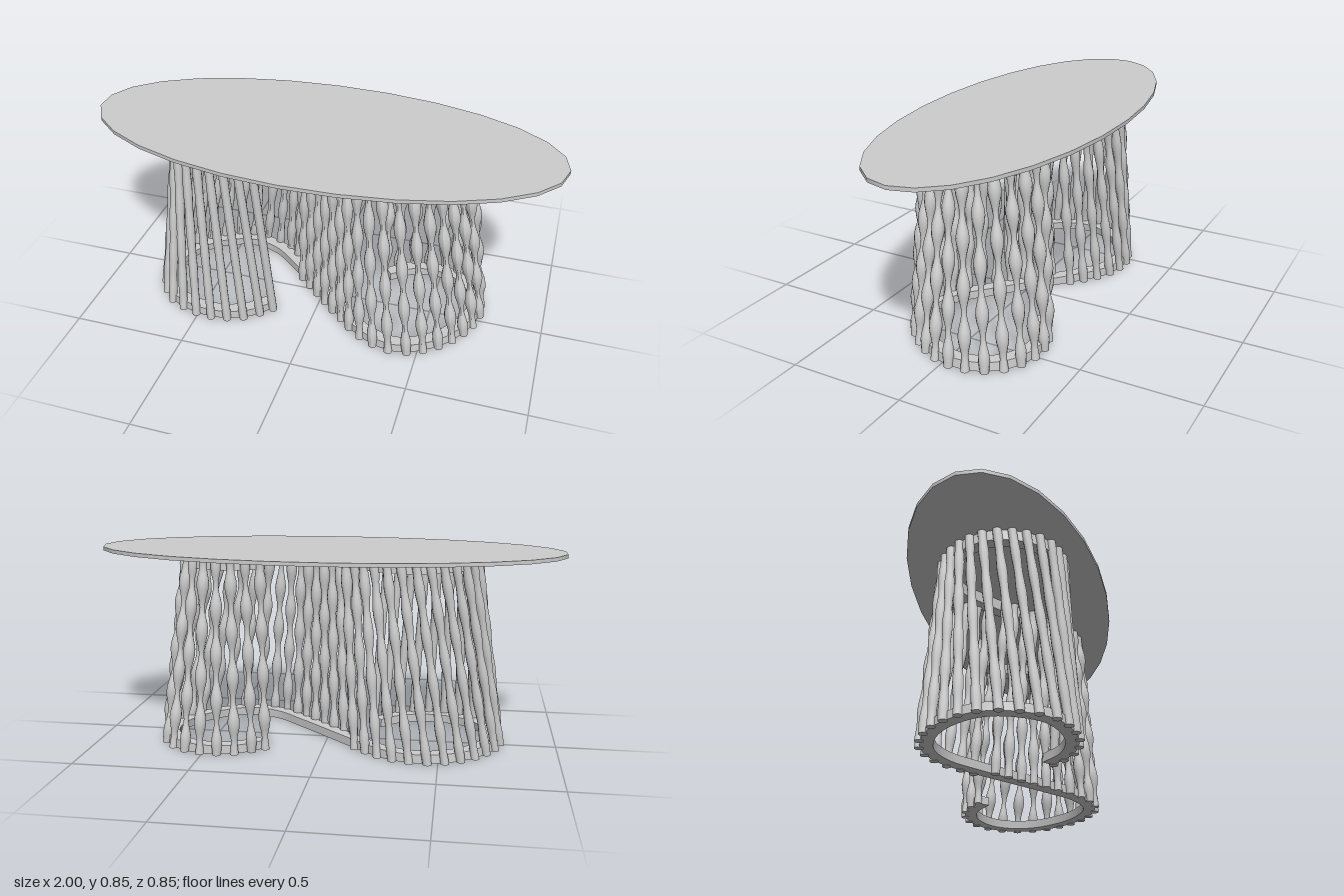
import * as THREE from 'three';
import { toCreasedNormals } from 'three/addons/utils/BufferGeometryUtils.js';

const HEIGHT = 0.84;
const RODS = 49;
const lerp = THREE.MathUtils.lerp;

// S-shaped plan at floor level (x, z), from the front end of the right loop
// through the middle to the back end of the left loop
const S_CURVE = new THREE.CatmullRomCurve3([
  [-0.205, 0.168], [-0.30, 0.255], [-0.45, 0.292], [-0.63, 0.24], [-0.715, 0.12],
  [-0.732, 0], [-0.675, -0.125], [-0.58, -0.215], [-0.44, -0.265], [-0.30, -0.235],
  [-0.16, -0.13], [-0.015, 0], [0.13, 0.13], [0.26, 0.235], [0.41, 0.275],
  [0.56, 0.2], [0.65, 0.085], [0.692, -0.03], [0.678, -0.145], [0.612, -0.233],
  [0.49, -0.281], [0.36, -0.26], [0.262, -0.185],
].map(([x, z]) => new THREE.Vector3(x, 0, z)));
S_CURVE.arcLengthDivisions = 600;

// Point and normal on the plan; it shrinks and shortens from floor (h 0) to top (h 1)
function plan(t, h) {
  const u = lerp(0.041 * h, 1 - 0.025 * h, t);
  const p = S_CURVE.getPointAt(u).multiplyScalar(1 - 0.165 * h);
  const d = S_CURVE.getTangentAt(u);
  return { p, n: new THREE.Vector3(d.z, 0, -d.x) };
}

// Flat band with a rectangular section following the S
function bandGeometry(y0, y1) {
  const steps = 110;
  const pos = [];
  const idx = [];
  const section = [[-0.026, y0], [0.026, y0], [0.026, y1], [-0.026, y1]];
  for (let i = 0; i <= steps; i++) {
    for (const [w, y] of section) {
      const { p, n } = plan(i / steps, y / HEIGHT);
      pos.push(p.x + n.x * w, y, p.z + n.z * w);
    }
    if (i === steps) break;
    for (let k = 0; k < 4; k++) {
      const a = i * 4 + k;
      const b = i * 4 + ((k + 1) % 4);
      idx.push(a, b, a + 4, b, b + 4, a + 4);
    }
  }
  const e = steps * 4;
  idx.push(0, 2, 1, 0, 3, 2, e, e + 1, e + 2, e, e + 2, e + 3);
  const g = new THREE.BufferGeometry();
  g.setAttribute('position', new THREE.Float32BufferAttribute(pos, 3));
  g.setIndex(idx);
  return toCreasedNormals(g, 0.6);
}

// Leaning rod whose beaded swelling grows along the S; neighbours alternate
function rodGeometry(i) {
  const t = i / (RODS - 1);
  const side = t < 0.475 ? 0.029 : -0.029; // outer side of each loop
  const at = (h) => {
    const { p, n } = plan(t, h);
    return p.addScaledVector(n, side);
  };
  const foot = at(0);
  const head = at(1);
  const swell = 0.008 * Math.min(1, t * 1.3);
  const g = new THREE.CylinderGeometry(1, 1, 1, 12, 36);
  const pos = g.attributes.position;
  for (let k = 0; k < pos.count; k++) {
    const h = pos.getY(k) + 0.5;
    const fade = Math.min(1, h * 10, (1 - h) * 10);
    const wave = Math.sin(h * Math.PI * 2 * 4.3 + (i + 1) * Math.PI + 0.2);
    const r = 0.0185 + swell * wave * fade;
    pos.setXYZ(k,
      lerp(foot.x, head.x, h) + pos.getX(k) * r,
      h * (HEIGHT - 0.003) + 0.003,
      lerp(foot.z, head.z, h) + pos.getZ(k) * r);
  }
  g.computeVertexNormals();
  return g;
}

export function createModel() {
  const model = new THREE.Group();
  model.name = 'ovalTable';
  const grey = new THREE.MeshStandardMaterial({ color: 0xcccccc });
  grey.name = 'grey';
  const add = (parent, name, geometry) => {
    const mesh = new THREE.Mesh(geometry, grey);
    mesh.name = name;
    parent.add(mesh);
    return mesh;
  };

  // Oval top
  const top = add(model, 'tableTop',
    new THREE.CylinderGeometry(1, 1, 0.016, 27, 1, false, Math.PI / 2));
  top.scale.set(1.003, 1, 0.427);
  top.position.set(-0.003, 0.845, 0);

  // Bands tying the rods together
  add(model, 'lowerBand', bandGeometry(0.005, 0.042));
  add(model, 'upperBand', bandGeometry(0.788, 0.838));

  // Rods along the S
  const rods = new THREE.Group();
  rods.name = 'rods';
  for (let i = 0; i < RODS; i++) add(rods, 'rod' + (i + 1), rodGeometry(i));
  model.add(rods);
  return model;
}
